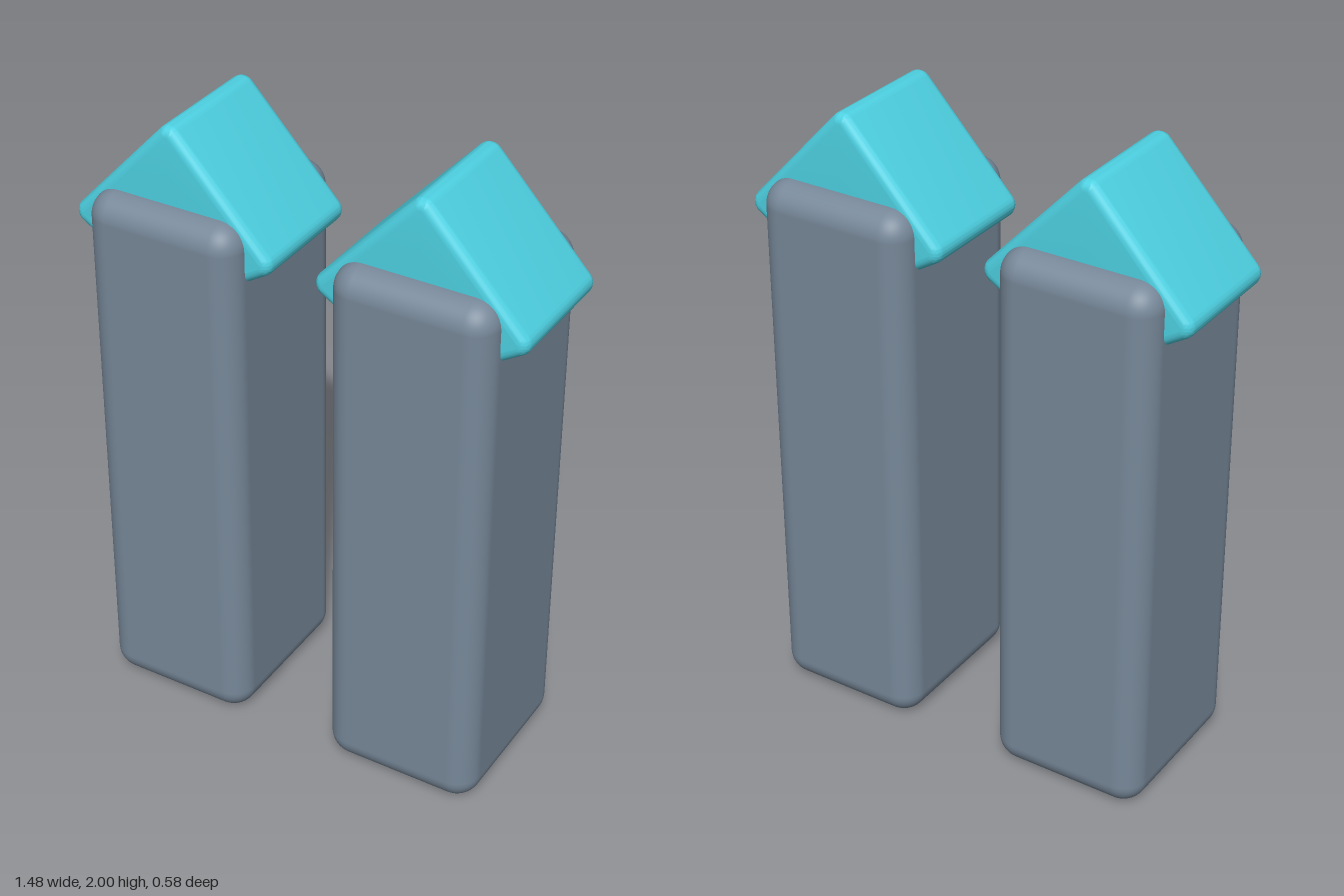
import * as THREE from 'three';
import { RoundedBoxGeometry } from 'three/addons/geometries/RoundedBoxGeometry.js';
import { toCreasedNormals } from 'three/addons/utils/BufferGeometryUtils.js';

// Outline of a convex polygon (counter-clockwise) grown by radius r with round corners
function roundedOutline(corners, r) {
  const shape = new THREE.Shape();
  const n = corners.length;
  const normalAngle = (a, b) => Math.atan2(a[0] - b[0], b[1] - a[1]);
  corners.forEach((c, i) => {
    const from = normalAngle(corners[(i + n - 1) % n], c);
    const to = normalAngle(c, corners[(i + 1) % n]);
    shape.absarc(c[0], c[1], r, from, to, false);
  });
  shape.closePath();
  return shape;
}

// Gabled roof block with rounded eaves, ridge and ends
function roofGeometry() {
  const outline = roundedOutline([[0, 1.465], [0.295, 1.645], [0, 1.96], [-0.295, 1.645]], 0.04);
  const bevel = 0.03, length = 0.425;
  const geometry = new THREE.ExtrudeGeometry(outline, {
    depth: length - 2 * bevel,
    curveSegments: 8,
    bevelSize: bevel,
    bevelThickness: bevel,
    bevelOffset: -bevel,
    bevelSegments: 6,
  });
  geometry.translate(0, 0, bevel - length / 2);
  return toCreasedNormals(geometry, 0.5);
}

export function createModel() {
  const model = new THREE.Group();
  model.name = 'twinTowers';
  const stone = new THREE.MeshStandardMaterial({ color: 0x778899 });
  const tile = new THREE.MeshStandardMaterial({ color: 0x4dd0e1 });
  const towerShape = new RoundedBoxGeometry(0.512, 1.76, 0.578, 6, 0.08);
  const roofShape = roofGeometry();

  // A matching tower on each side
  for (const [side, name] of [[1, 'left'], [-1, 'right']]) {
    const tower = new THREE.Group();
    tower.name = name + 'Tower';
    tower.position.x = side * 0.407;

    const body = new THREE.Mesh(towerShape, stone);
    body.name = name + 'TowerBody';
    body.position.y = 0.88;

    const roof = new THREE.Mesh(roofShape, tile);
    roof.name = name + 'TowerRoof';

    tower.add(body, roof);
    model.add(tower);
  }
  return model;
}
